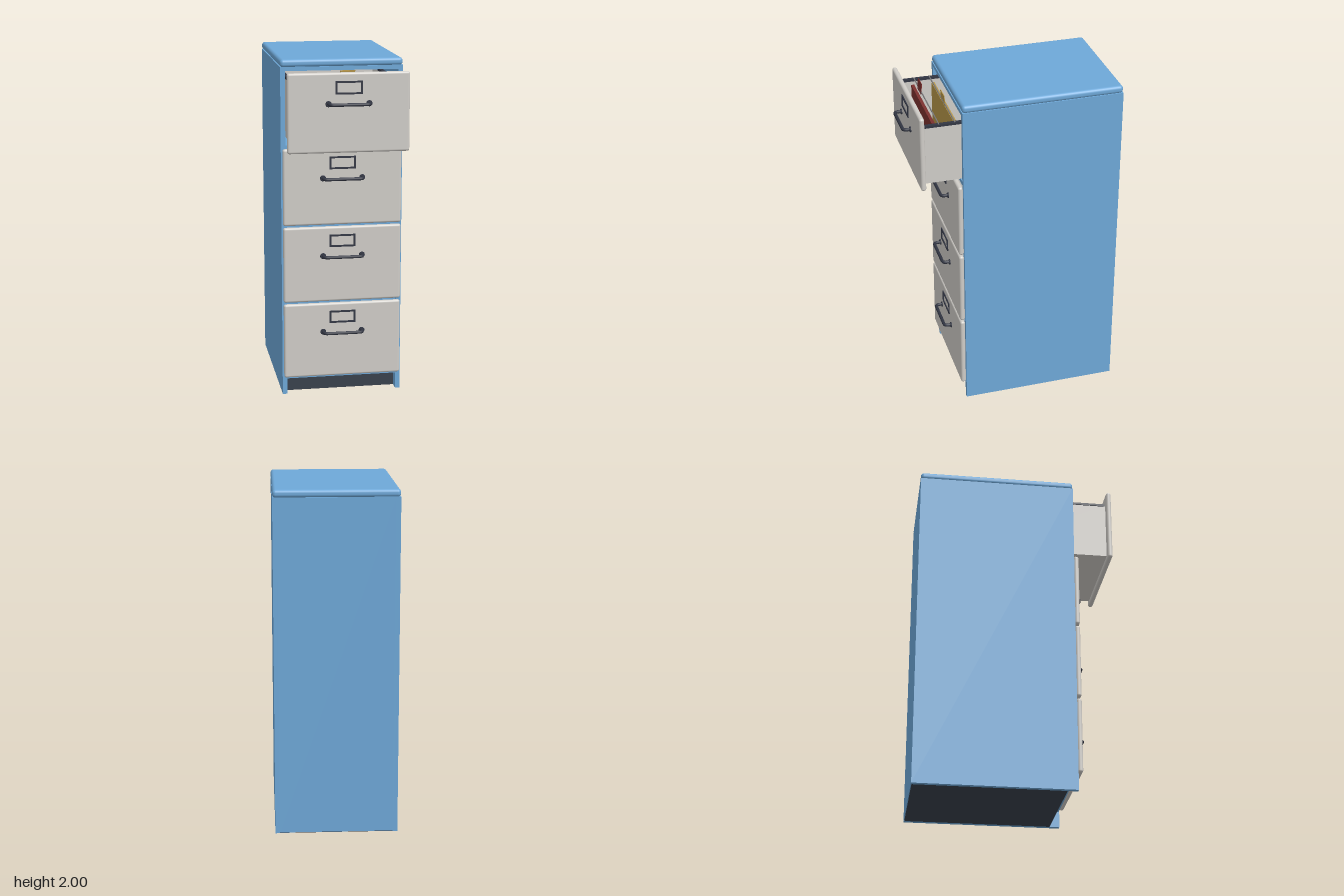
import * as THREE from 'three';
import { RoundedBoxGeometry } from 'three/addons/geometries/RoundedBoxGeometry.js';

const mat = (name, color) => new THREE.MeshStandardMaterial({ name, color });

export function createModel() {
  const blue = mat('cabinet blue', 0x6ea8d8);
  const grey = mat('drawer grey', 0xd0cdc8);
  const dark = mat('base charcoal', 0x39414c);
  const iron = mat('hardware dark', 0x323643);
  const yellow = mat('folder yellow', 0xb8984a);
  const red = mat('folder red', 0x7d3230);
  const steel = mat('rod steel', 0x7d7d7f);

  const model = new THREE.Group();
  model.name = 'filingCabinet';

  const add = (parent, name, geo, material, x = 0, y = 0, z = 0) => {
    const m = new THREE.Mesh(geo, material);
    m.name = name;
    m.position.set(x, y, z);
    parent.add(m);
    return m;
  };
  // box given by its limits on each axis
  const box = (parent, name, material, x0, x1, y0, y1, z0, z1) =>
    add(parent, name, new THREE.BoxGeometry(x1 - x0, y1 - y0, z1 - z0), material,
      (x0 + x1) / 2, (y0 + y1) / 2, (z0 + z1) / 2);

  const W = 0.355, T = 0.027, BACK = -0.615, FRONT = 0.32;
  const IN = W - T;

  // carcass
  const body = new THREE.Group();
  body.name = 'carcass';
  model.add(body);
  box(body, 'leftSide', blue, IN, W, 0, 1.958, BACK, FRONT);
  box(body, 'rightSide', blue, -W, -IN, 0, 1.958, BACK, FRONT);
  box(body, 'backPanel', blue, -IN, IN, 0.004, 1.958, BACK, BACK + 0.02);
  box(body, 'topPanel', blue, -IN, IN, 1.935, 1.958, BACK + 0.02, FRONT);
  box(body, 'plinth', dark, -IN, IN, 0, 0.095, BACK + 0.004, 0.26);
  box(body, 'floorPanel', blue, -IN, IN, 0.095, 0.12, BACK + 0.02, FRONT - 0.005);
  add(body, 'lid', new RoundedBoxGeometry(2 * W, 0.045, FRONT - BACK, 4, 0.019), blue,
    0, 1.9775, (FRONT + BACK) / 2);

  // shared drawer geometry
  const H = 0.452;
  const frontGeo = new RoundedBoxGeometry(0.695, H, 0.03, 4, 0.0135);

  const frame = new THREE.Shape();
  frame.moveTo(-0.077, -0.037).lineTo(0.077, -0.037).lineTo(0.077, 0.037).lineTo(-0.077, 0.037).closePath();
  const hole = new THREE.Path();
  hole.moveTo(-0.066, -0.027).lineTo(-0.066, 0.027).lineTo(0.066, 0.027).lineTo(0.066, -0.027).closePath();
  frame.holes.push(hole);
  const frameGeo = new THREE.ExtrudeGeometry(frame, { depth: 0.007, bevelEnabled: false });

  // bail handle: straight bar with rounded bends back to the drawer front
  const v = (x, z) => new THREE.Vector3(x, 0, z);
  const bail = new THREE.CurvePath();
  bail.add(new THREE.LineCurve3(v(-0.115, 0), v(-0.115, 0.022)));
  bail.add(new THREE.QuadraticBezierCurve3(v(-0.115, 0.022), v(-0.115, 0.044), v(-0.092, 0.044)));
  bail.add(new THREE.LineCurve3(v(-0.092, 0.044), v(0.092, 0.044)));
  bail.add(new THREE.QuadraticBezierCurve3(v(0.092, 0.044), v(0.115, 0.044), v(0.115, 0.022)));
  bail.add(new THREE.LineCurve3(v(0.115, 0.022), v(0.115, 0)));
  const handleGeo = new THREE.TubeGeometry(bail, 64, 0.0095, 10);
  const rosetteGeo = new THREE.CylinderGeometry(0.015, 0.018, 0.008, 20).rotateX(Math.PI / 2);

  // drawer origin: bottom of the front panel, on the back face of that panel
  const makeDrawer = (name) => {
    const d = new THREE.Group();
    d.name = name;
    add(d, 'drawerFront', frontGeo, grey, 0, H / 2, 0.015);
    add(d, 'labelFrame', frameGeo, iron, 0, 0.368, 0.029);
    add(d, 'handle', handleGeo, iron, 0, 0.278, 0.029);
    for (const s of [-1, 1]) {
      add(d, 'handleRosette', rosetteGeo, iron, s * 0.115, 0.278, 0.033);
      const x = s * 0.298;
      box(d, 'drawerSide', grey, x - 0.006, x + 0.006, 0.025, 0.375, -0.82, 0.002);
      box(d, 'hangingRail', iron, x - 0.011, x + 0.011, 0.373, 0.387, -0.82, -0.005);
    }
    box(d, 'drawerBottom', grey, -0.292, 0.292, 0.025, 0.037, -0.82, 0.002);
    box(d, 'drawerBack', grey, -0.292, 0.292, 0.037, 0.375, -0.82, -0.808);
    return d;
  };

  // four drawers, the top one pulled out
  const PITCH = 0.4635;
  let open;
  for (let i = 0; i < 4; i++) {
    const y = 0.11 + i * PITCH;
    const d = makeDrawer('drawer' + (i + 1));
    d.position.set(0, y, i === 3 ? FRONT + 0.21 : FRONT);
    model.add(d);
    if (i === 3) open = d;
    if (i > 0) box(body, 'divider', blue, -IN, IN, y - 0.018, y + 0.006, BACK + 0.02, FRONT - 0.005);
  }

  // hanging folders: panel, rod across the rails, and a leaning tab
  const addFolder = (material, z, rodZ, tabX) => {
    const f = new THREE.Group();
    f.name = 'hangingFolder';
    open.add(f);
    box(f, 'folderPanel', material, -0.267, 0.267, 0.06, 0.362, z - 0.009, z + 0.009);
    add(f, 'folderRod', new THREE.CylinderGeometry(0.004, 0.004, 0.61, 8).rotateZ(Math.PI / 2),
      steel, 0, 0.386, rodZ);
    const tab = box(f, 'folderTab', material, tabX - 0.043, tabX + 0.043, 0.372, 0.437, rodZ - 0.002, rodZ + 0.002);
    tab.rotation.x = rodZ > z ? 0.08 : -0.08;
  };
  addFolder(red, -0.073, -0.089, -0.152);
  addFolder(yellow, -0.194, -0.181, 0.028);

  return model;
}
